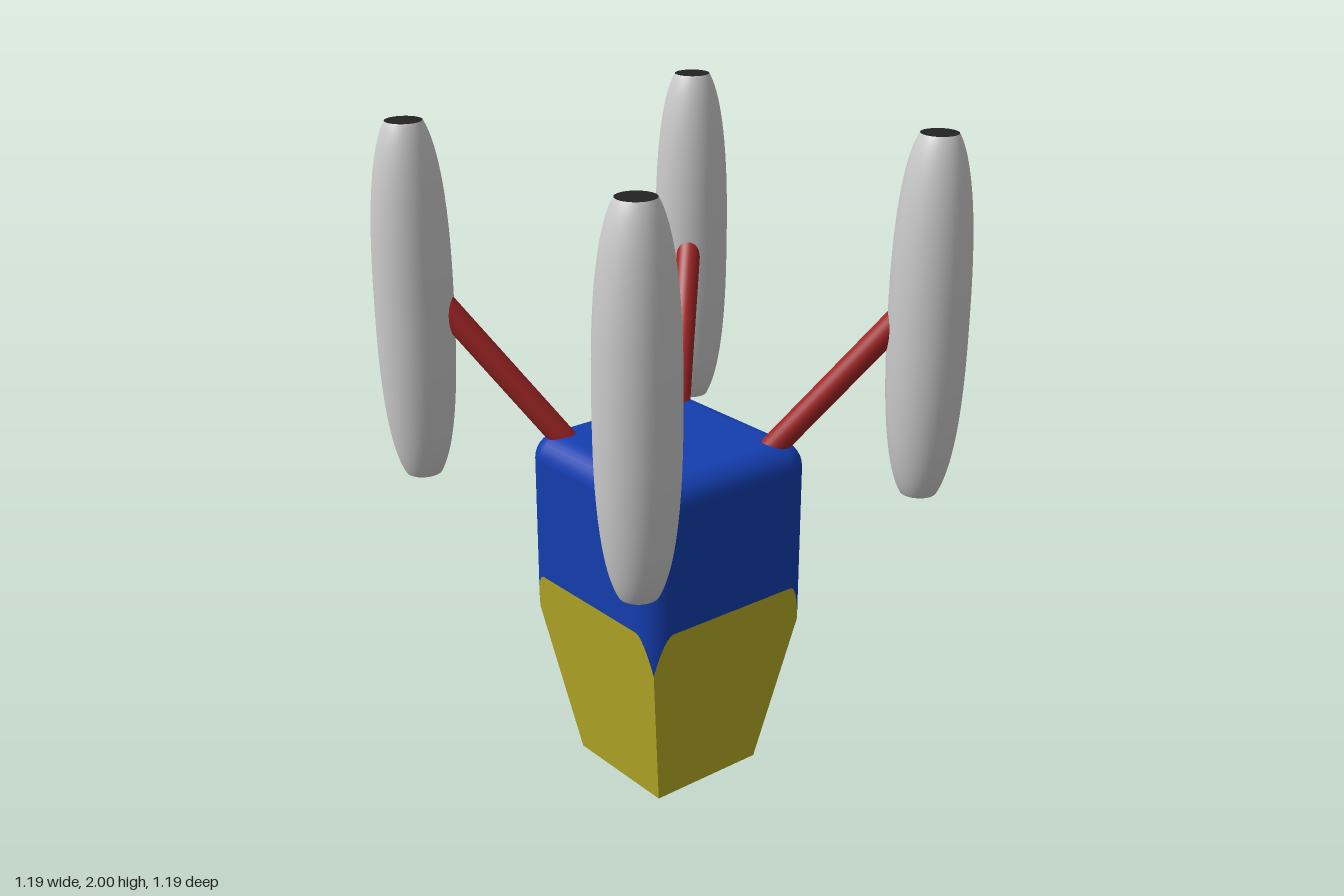
import * as THREE from 'three';

const HALF = 0.283, ROUND = 0.072, TOP = 1.14;      // hull box
const TIP_HALF = 0.18, TIP_Y = 0.13;                // foot of the tapered section
const ARC = 12;                                     // segments per rounded corner

const paint = (color, extra = {}) => new THREE.MeshStandardMaterial({ color, ...extra });

function part(name, geometry, material) {
  const mesh = new THREE.Mesh(geometry, material);
  mesh.name = name;
  return mesh;
}

// Rounded square outline, shrunk by reducing the corner radius
function outline(radius) {
  const points = [];
  for (let q = 0; q < 4; q++) {
    const mid = (q + 0.5) * Math.PI / 2;
    const cx = Math.sign(Math.cos(mid)) * (HALF - ROUND);
    const cz = Math.sign(Math.sin(mid)) * (HALF - ROUND);
    for (let i = 0; i <= ARC; i++) {
      const a = (q + i / ARC) * Math.PI / 2;
      const nx = Math.cos(a), nz = Math.sin(a);
      points.push({ x: cx + nx * radius, z: cz + nz * radius, nx, nz });
    }
  }
  return points;
}

const reach = (p) => Math.max(Math.abs(p.x), Math.abs(p.z));
// Height at which the four tapering planes meet an outline point
const seamY = (p) => TIP_Y + (reach(p) - TIP_HALF) * 5.7;

// Skin closed rings of [x, y, z] points, from the bottom up
function loft(rings, normals, cap) {
  const n = rings[0].length, index = [];
  for (let r = 0; r < rings.length - 1; r++) {
    for (let j = 0; j < n; j++) {
      const k = (j + 1) % n, a = r * n, b = a + n;
      index.push(a + j, b + j, a + k, a + k, b + j, b + k);
    }
  }
  const positions = rings.flat();
  if (cap) {
    const last = (rings.length - 1) * n;
    positions.push([0, rings.at(-1)[0][1], 0]);
    normals.push([0, 1, 0]);
    for (let j = 0; j < n; j++) index.push(positions.length - 1, last + (j + 1) % n, last + j);
  }
  const g = new THREE.BufferGeometry();
  g.setAttribute('position', new THREE.Float32BufferAttribute(positions.flat(), 3));
  if (normals) g.setAttribute('normal', new THREE.Float32BufferAttribute(normals.flat(), 3));
  g.setIndex(index);
  if (!normals) g.computeVertexNormals();
  return g;
}

// Blue box: rounded walls down to the curved seam, filleted top edge
function hullGeometry() {
  const base = outline(ROUND);
  const rings = [base.map((p) => [p.x, seamY(p), p.z])];
  const normals = base.map((p) => [p.nx, 0, p.nz]);
  for (let i = 0; i <= 8; i++) {
    const t = i / 8 * Math.PI / 2, c = Math.cos(t), s = Math.sin(t);
    const ring = outline(ROUND * c);
    rings.push(ring.map((p) => [p.x, TOP - ROUND + ROUND * s, p.z]));
    normals.push(...ring.map((p) => [p.nx * c, s, p.nz * c]));
  }
  return loft(rings, normals, true);
}

// Flat tapering faces from the square foot up to the seam
function taperGeometry() {
  const base = outline(ROUND);
  const foot = base.map((p) => [p.x * TIP_HALF / reach(p), TIP_Y, p.z * TIP_HALF / reach(p)]);
  return loft([foot, base.map((p) => [p.x, seamY(p), p.z])]);
}

// Blunt-ended pod, centred on its own origin
function createPod(materials) {
  const pod = new THREE.Group();
  pod.name = 'pod';
  const half = 0.495, profile = [];
  for (let i = 0; i <= 40; i++) {
    const y = -half * Math.cos(i / 40 * Math.PI);
    profile.push(new THREE.Vector2(0.107 * (1 - (Math.abs(y) / 0.528) ** 2.5) ** 0.4, y));
  }
  pod.add(part('podShell', new THREE.LatheGeometry(profile, 48), materials.shell));
  for (const s of [1, -1]) {
    const disc = part(s > 0 ? 'podTopOpening' : 'podBottomOpening',
      new THREE.CircleGeometry(profile[0].x, 48), materials.opening);
    disc.rotation.x = -s * Math.PI / 2;
    disc.position.y = s * half;
    pod.add(disc);
  }
  return pod;
}

// Round rod between two points
function createStrut(from, to, material) {
  const dir = to.clone().sub(from);
  const strut = part('strut', new THREE.CylinderGeometry(0.035, 0.035, dir.length(), 32), material);
  strut.position.copy(from).add(to).multiplyScalar(0.5);
  strut.quaternion.setFromUnitVectors(new THREE.Vector3(0, 1, 0), dir.normalize());
  return strut;
}

export function createModel() {
  const model = new THREE.Group();
  model.name = 'spacecraft';
  const red = paint(0xa02525);
  const materials = { shell: paint(0xcccccc, { side: THREE.DoubleSide }), opening: paint(0x222222) };

  model.add(part('hull', hullGeometry(), paint(0x143eb0)));
  model.add(part('taperedSection', taperGeometry(), paint(0xbcb029, { flatShading: true })));

  // Four-sided point at the bottom
  const tip = new THREE.ConeGeometry(TIP_HALF * Math.SQRT2, TIP_Y, 4);
  tip.rotateY(Math.PI / 4).rotateX(Math.PI).translate(0, TIP_Y / 2, 0);
  model.add(part('tip', tip, paint(0x2d5c38, { flatShading: true })));

  // One strut and pod on each diagonal
  for (const sx of [1, -1]) {
    for (const sz of [1, -1]) {
      const at = (d, y) => new THREE.Vector3(sx * d, y, sz * d);
      model.add(createStrut(at(0.19, 1.1), at(0.46, 1.55), red));
      const pod = createPod(materials);
      pod.position.copy(at(0.487, 1.505));
      model.add(pod);
    }
  }
  return model;
}
